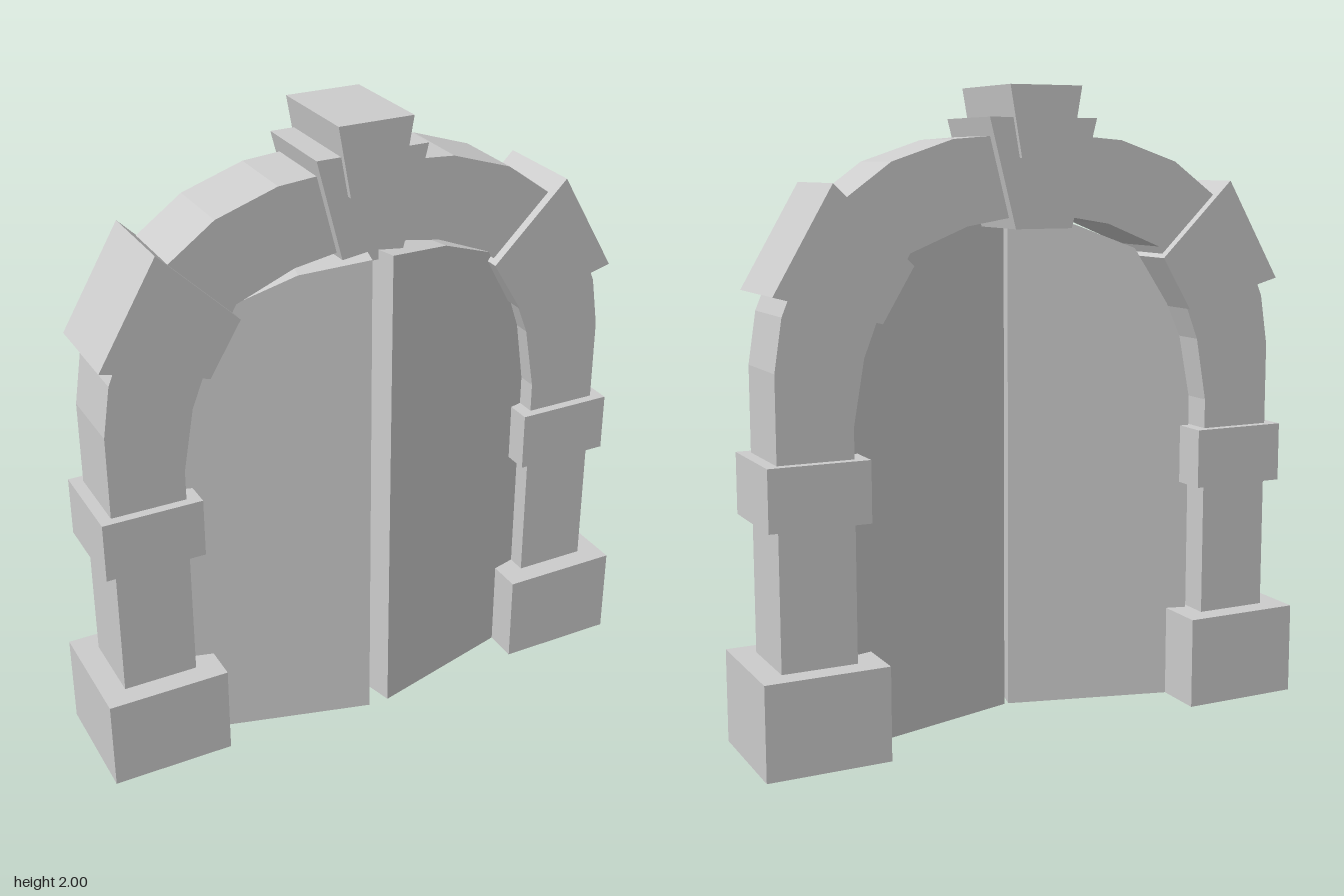
import * as THREE from 'three';

const stone = new THREE.MeshStandardMaterial({ color: 0xcccccc, flatShading: true });

// Prism from an outline in x/y, running from z0 to z1
function prism(name, points, z0, z1) {
  const shape = new THREE.Shape(points.map(([x, y]) => new THREE.Vector2(x, y)));
  const geometry = new THREE.ExtrudeGeometry(shape, { depth: z1 - z0, bevelEnabled: false });
  geometry.translate(0, 0, z0);
  const mesh = new THREE.Mesh(geometry, stone);
  mesh.name = name;
  return mesh;
}

const mirror = (points) => points.map(([x, y]) => [-x, y]).reverse();
const block = (x0, x1, y0, y1) => [[x0, y0], [x1, y0], [x1, y1], [x0, y1]];

export function createModel() {
  const model = new THREE.Group();
  model.name = 'archedGate';

  // Stone arch: half outlines mirrored into one band
  const outer = [[0.845, 0], [0.845, 1.18], [0.82, 1.34], [0.795, 1.4], [0.73, 1.54],
    [0.625, 1.67], [0.48, 1.775], [0.285, 1.84], [0.1, 1.855]];
  const inner = [[0.608, 0], [0.608, 1.01], [0.573, 1.21], [0.53, 1.32], [0.425, 1.51],
    [0.24, 1.585], [0.06, 1.615]];
  model.add(prism('arch', [
    ...outer, ...mirror(outer),
    ...mirror(inner).reverse(), ...inner.slice().reverse(),
  ], -0.135, 0.11));

  // Keystone and its raised cap
  model.add(prism('keystone', [[-0.095, 1.575], [0.095, 1.575], [0.18, 1.905], [-0.18, 1.905]], -0.165, 0.14));
  model.add(prism('keystoneCap', [[-0.082, 1.785], [0.082, 1.785], [0.12, 2], [-0.12, 2]], -0.18, 0.158));

  // Door leaf outline measured from its hinge edge (u = 0) to the middle
  const hingeX = 0.608, hingeZ = -0.008, swing = THREE.MathUtils.degToRad(15);
  const leaf = [[0, 0], [0, 1.01], [0.035, 1.21], [0.08, 1.32], [0.19, 1.5],
    [0.39, 1.577], [0.608, 1.605], [0.608, 0]];

  for (const [side, s] of [['left', 1], ['right', -1]]) {
    const place = (points) => (s > 0 ? points : mirror(points));

    // Pillar base, middle band and shoulder stone
    model.add(prism(side + 'Base', place(block(0.53, 0.92, 0, 0.295)), -0.205, 0.18));
    model.add(prism(side + 'Band', place(block(0.567, 0.883, 0.725, 0.915)), -0.165, 0.14));
    model.add(prism(side + 'ShoulderStone',
      place([[0.525, 1.31], [0.855, 1.4], [0.67, 1.715], [0.425, 1.475]]), -0.165, 0.14));

    // Door leaf swung forward about its hinge
    const door = prism(side + 'Door', place(leaf.map(([u, y]) => [-u, y])), -0.053, 0.053);
    door.position.set(s * hingeX, 0, hingeZ);
    door.rotation.y = s * swing;
    model.add(door);
  }
  return model;
}
